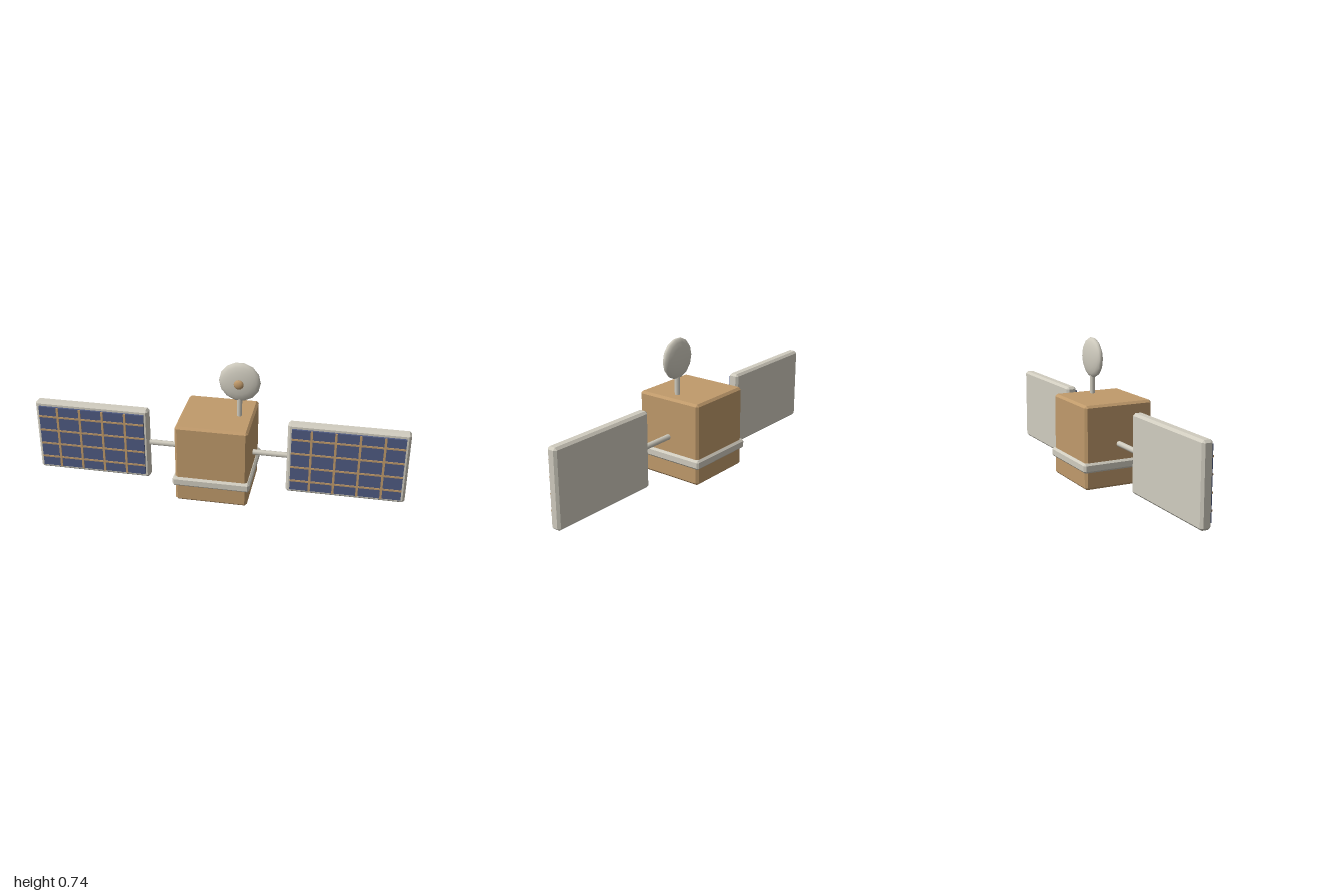
import * as THREE from 'three';
import { ConvexGeometry } from 'three/addons/geometries/ConvexGeometry.js';

const material = (name, color) => {
  const m = new THREE.MeshStandardMaterial({ color });
  m.name = name;
  return m;
};

// Box with every edge chamfered by b
function chamferBox(w, h, d, b) {
  const points = [];
  for (const x of [-w / 2, w / 2]) for (const y of [-h / 2, h / 2]) for (const z of [-d / 2, d / 2]) {
    const inX = x - Math.sign(x) * b, inY = y - Math.sign(y) * b, inZ = z - Math.sign(z) * b;
    points.push(
      new THREE.Vector3(x, inY, inZ),
      new THREE.Vector3(inX, y, inZ),
      new THREE.Vector3(inX, inY, z));
  }
  return new ConvexGeometry(points);
}

export function createModel() {
  const tan = material('gold foil', 0xc09a6b);
  const grey = material('light metal', 0xd0ccbf);
  const blue = material('solar blue', 0x4f5b82);

  const model = new THREE.Group();
  model.name = 'satellite';
  const add = (parent, name, geometry, mat, x, y, z) => {
    const mesh = new THREE.Mesh(geometry, mat);
    mesh.name = name;
    mesh.position.set(x, y, z);
    parent.add(mesh);
    return mesh;
  };

  // Body and the band around it
  add(model, 'body', chamferBox(0.38, 0.437, 0.38, 0.012), tan, 0, 0.2185, 0);
  add(model, 'band', chamferBox(0.406, 0.05, 0.406, 0.01), grey, 0, 0.118, 0);

  // Solar wings, one on each side
  for (const side of [-1, 1]) {
    const wing = new THREE.Group();
    wing.name = side > 0 ? 'leftWing' : 'rightWing';
    wing.position.set(side * 0.686, 0.221, 0);
    model.add(wing);

    const arm = add(wing, 'arm', new THREE.CylinderGeometry(0.015, 0.015, 0.24, 8), grey, side * -0.406, 0.005, 0);
    arm.rotation.z = Math.PI / 2;
    add(wing, 'panelFrame', chamferBox(0.626, 0.408, 0.056, 0.012), grey, 0, 0, 0);
    add(wing, 'solarCells', new THREE.BoxGeometry(0.582, 0.36, 0.012), blue, 0, 0, 0.033);

    // Dividers between the cells
    for (let i = 0; i < 4; i++) {
      add(wing, 'verticalDivider', new THREE.BoxGeometry(0.012, 0.36, 0.006), tan, (i - 1.5) * 0.125, 0, 0.04);
      add(wing, 'horizontalDivider', new THREE.BoxGeometry(0.582, 0.01, 0.006), tan, 0, (i - 1.5) * 0.082, 0.0395);
    }
  }

  // Antenna: mast, lens-shaped dish and feed
  add(model, 'mast', new THREE.CylinderGeometry(0.014, 0.014, 0.15, 8), grey, 0.115, 0.49, 0);
  const dishShape = new THREE.SphereGeometry(1, 14, 10).rotateX(Math.PI / 2);
  add(model, 'dish', dishShape, grey, 0.115, 0.63, 0).scale.set(0.108, 0.108, 0.031);
  const feedShape = new THREE.SphereGeometry(1, 12, 8).rotateX(Math.PI / 2);
  add(model, 'feed', feedShape, tan, 0.115, 0.629, 0.036).scale.set(0.026, 0.026, 0.014);

  return model;
}
